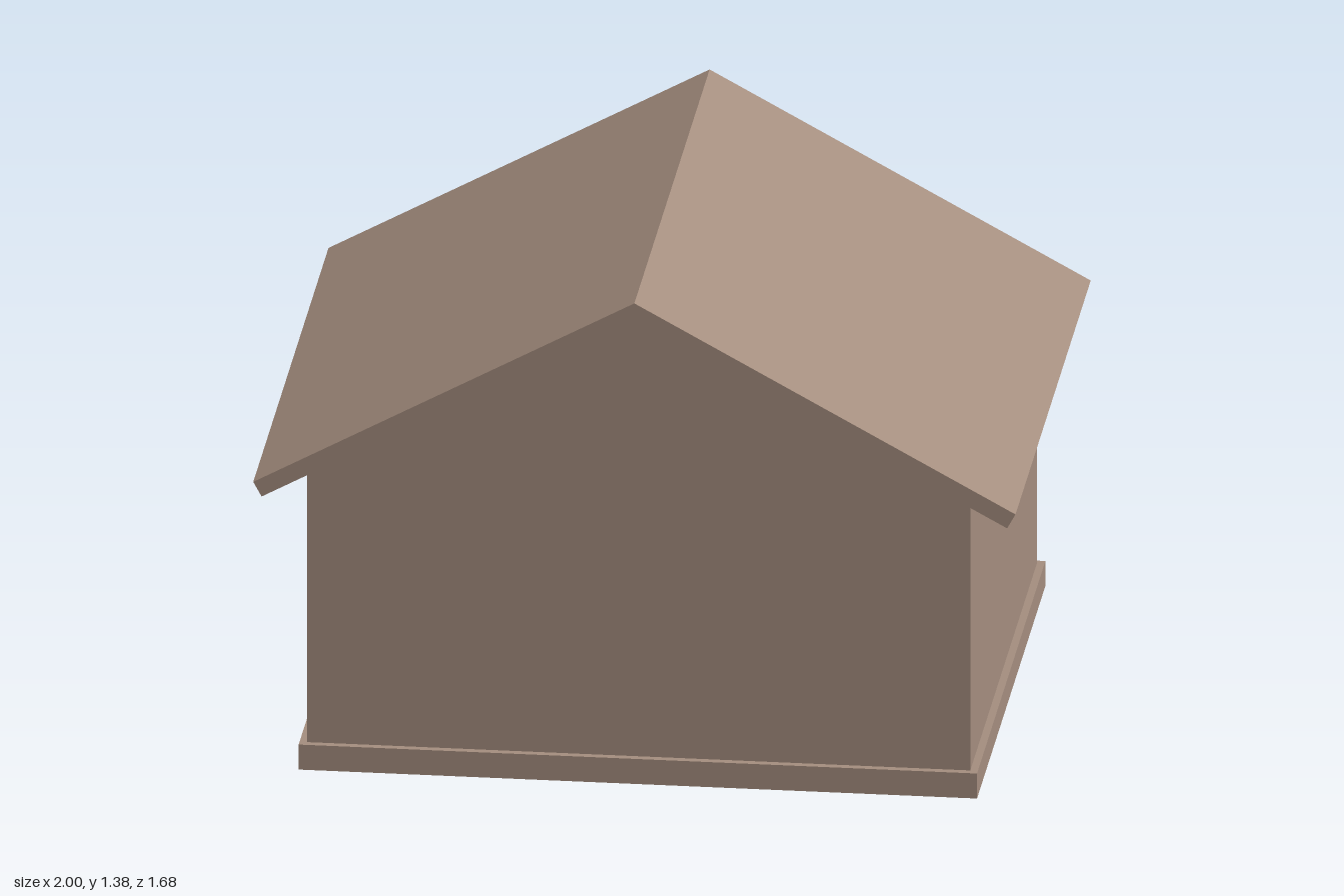
import * as THREE from 'three';

export function createModel() {
  const house = new THREE.Group();
  house.name = 'house';

  const wood = new THREE.MeshStandardMaterial({ color: 0xa58e7f });
  wood.name = 'brown wood';
  const glass = new THREE.MeshStandardMaterial({ color: 0x98b0b4 });
  glass.name = 'blue grey glass';

  function add(name, geometry, material = wood) {
    const mesh = new THREE.Mesh(geometry, material);
    mesh.name = name;
    house.add(mesh);
    return mesh;
  }

  // Box given by its limits on each axis
  function box(name, [x0, x1], [y0, y1], [z0, z1], material) {
    const mesh = add(name, new THREE.BoxGeometry(x1 - x0, y1 - y0, z1 - z0), material);
    mesh.position.set((x0 + x1) / 2, (y0 + y1) / 2, (z0 + z1) / 2);
  }

  // Gable outline extruded along z, centred on z = 0
  function prism(name, points, depth) {
    const shape = new THREE.Shape(points.map(([x, y]) => new THREE.Vector2(x, y)));
    const geometry = new THREE.ExtrudeGeometry(shape, { depth, bevelEnabled: false });
    geometry.translate(0, 0, -depth / 2);
    add(name, geometry);
  }

  // Foundation, gabled walls and the two roof slopes
  box('foundation', [-0.89, 0.89], [0, 0.07], [-0.765, 0.765]);
  prism('walls', [[-0.87, 0.07], [0.87, 0.07], [0.87, 0.836], [0, 1.32], [-0.87, 0.836]], 1.49);
  prism('roof', [[0, 1.375], [-1, 0.83], [-0.978, 0.79], [0, 1.323], [0.978, 0.79], [1, 0.83]], 1.684);

  // Door on the back gable
  box('doorFrame', [-0.18, 0.18], [0.09, 0.68], [-0.79, -0.74]);
  box('door', [-0.155, 0.155], [0.11, 0.66], [-0.81, -0.785]);

  // Windows and corner posts, mirrored about the door
  for (const [side, s] of [['left', 1], ['right', -1]]) {
    const span = (a, b) => (s > 0 ? [a, b] : [-b, -a]);
    box(side + 'WindowFrame', span(0.405, 0.66), [0.41, 0.71], [-0.78, -0.74]);
    box(side + 'WindowPane', span(0.43, 0.635), [0.445, 0.675], [-0.795, -0.775], glass);
    box(side + 'CornerPost', span(0.81, 0.85), [0.065, 0.845], [-0.777, -0.74]);
  }

  return house;
}
